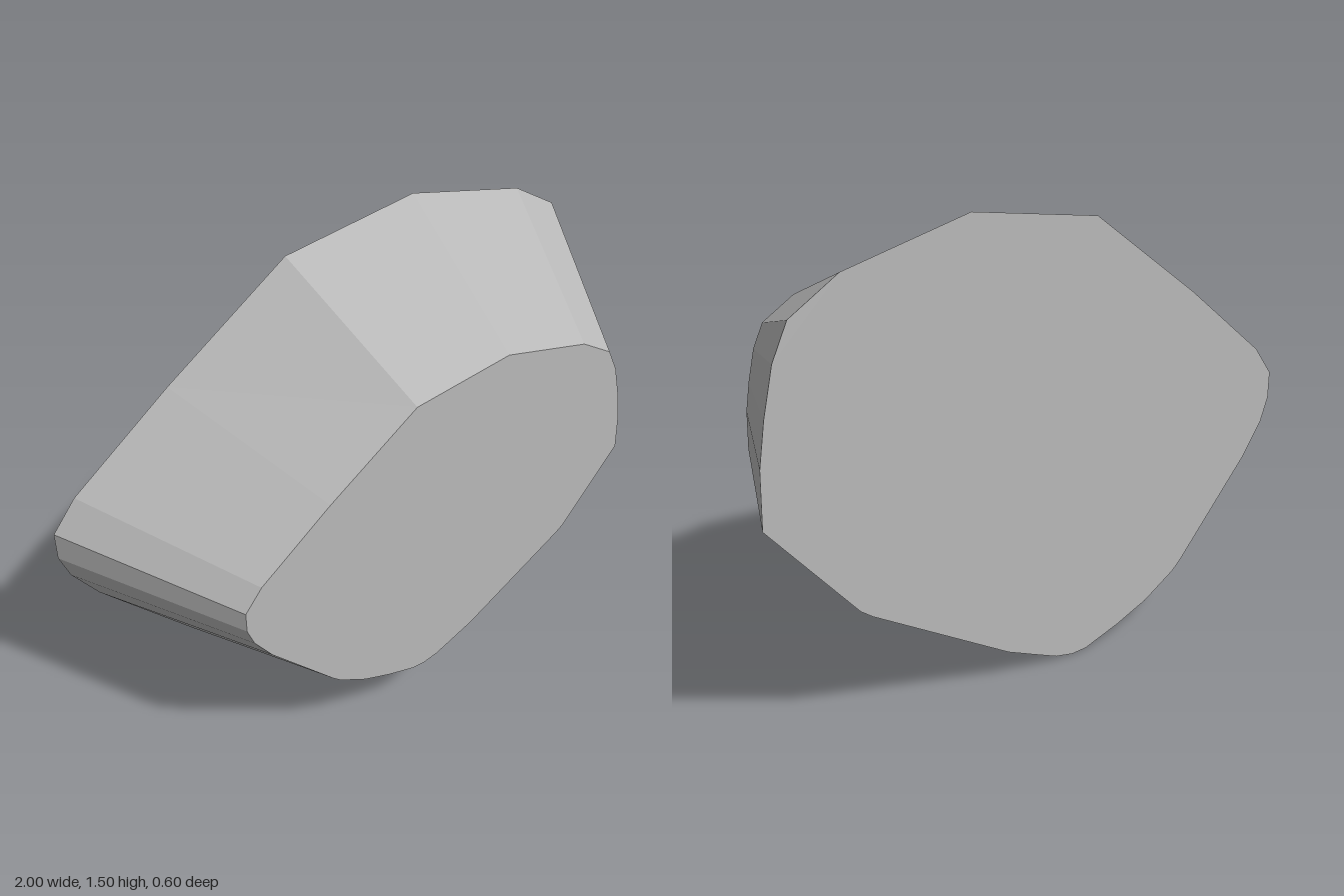
import * as THREE from 'three';

// Outline of the wide back face, clockwise from the upper left
const OUTLINE = [
  [-0.16, 1.43], [0.31, 1.505], [0.735, 1.41], [0.895, 1.315], [0.945, 1.21],
  [0.977, 1.07], [0.997, 0.94], [1, 0.77], [0.71, 0.44], [0.67, 0.41],
  [0.17, 0.11], [0.06, 0.06], [-0.03, 0.02], [-0.1, 0.003], [-0.16, 0.003],
  [-0.3, 0.04], [-0.43, 0.085], [-0.56, 0.155], [-0.6, 0.19], [-0.89, 0.49],
  [-0.97, 0.6], [-1, 0.68], [-1, 0.77], [-0.92, 0.87], [-0.585, 1.13],
];
const DEPTH = 0.6;
const TAPER = 0.7; // size of the front face relative to the back

export function createModel() {
  const group = new THREE.Group();
  group.name = 'rock';

  const stone = new THREE.MeshStandardMaterial({ color: 0xb8b8b8, flatShading: true });
  stone.name = 'stone grey';

  // Straight slab, then shrink its front face to slope the sides
  const shape = new THREE.Shape(OUTLINE.map(([x, y]) => new THREE.Vector2(x, y)));
  const geometry = new THREE.ExtrudeGeometry(shape, { depth: DEPTH, bevelEnabled: false });
  geometry.translate(0, 0, -DEPTH / 2);
  const pos = geometry.attributes.position;
  for (let i = 0; i < pos.count; i++) {
    if (pos.getZ(i) > 0) {
      pos.setX(i, pos.getX(i) * TAPER - 0.005);
      pos.setY(i, pos.getY(i) * TAPER + 0.198);
    }
  }
  geometry.computeVertexNormals();

  const body = new THREE.Mesh(geometry, stone);
  body.name = 'taperedStone';
  group.add(body);
  return group;
}
